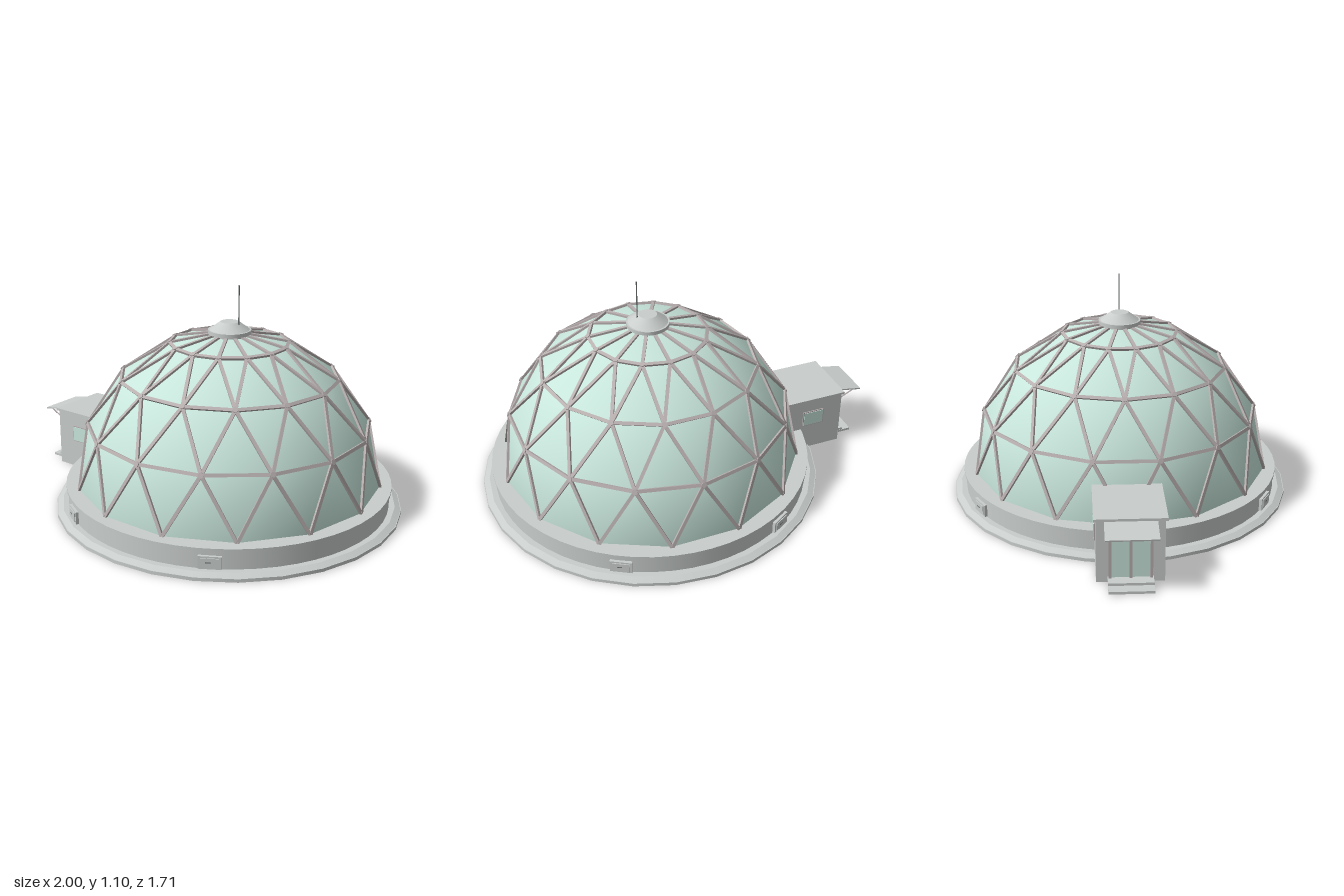
import * as THREE from 'three';

const CX = 0.147;      // dome axis
const BASE_Y = 0.13;   // dome springing line
const R = 0.742;       // frame radius
const N = 14;          // nodes per ring

const mat = (name, color) => {
  const m = new THREE.MeshStandardMaterial({ color });
  m.name = name;
  return m;
};

export function createModel() {
  const concrete = mat('concrete', 0xc9cecc);
  const metal = mat('frame metal', 0xb9b0b0);
  const glass = mat('pale green glass', 0xc9e7dd);
  const dark = mat('dark trim', 0x6c7071);

  const model = new THREE.Group();
  model.name = 'domeBuilding';

  const add = (name, geo, m, x = 0, y = 0, z = 0, parent = model) => {
    const mesh = new THREE.Mesh(geo, m);
    mesh.name = name;
    mesh.position.set(x, y, z);
    parent.add(mesh);
    return mesh;
  };
  // box given by its min and max corners
  const box = (name, m, x0, x1, y0, y1, z0, z1, parent = model) =>
    add(name, new THREE.BoxGeometry(x1 - x0, y1 - y0, z1 - z0), m,
      (x0 + x1) / 2, (y0 + y1) / 2, (z0 + z1) / 2, parent);

  const dome = new THREE.Group();
  dome.name = 'dome';
  dome.position.x = CX;
  model.add(dome);

  // Foundation slab with a bevelled top edge
  add('slab', new THREE.CylinderGeometry(0.853, 0.853, 0.016, 28), concrete, 0, 0.008, 0, dome);
  add('slabBevel', new THREE.CylinderGeometry(0.822, 0.85, 0.014, 28), concrete, 0, 0.023, 0, dome);
  // Ring wall and its coping
  add('ringWall', new THREE.CylinderGeometry(0.792, 0.792, 0.09, 56), concrete, 0, 0.073, 0, dome);
  add('wallCoping', new THREE.CylinderGeometry(0.801, 0.801, 0.014, 56), concrete, 0, 0.123, 0, dome);

  // Lattice nodes, staggered by half a step on every other ring
  const node = (ring, k) => {
    const lat = ring * Math.PI / 8;
    const a = (k + (ring % 2) / 2) * Math.PI * 2 / N;
    return new THREE.Vector3(
      R * Math.cos(lat) * Math.cos(a),
      BASE_Y + R * Math.sin(lat),
      R * Math.cos(lat) * Math.sin(a));
  };
  const centre = new THREE.Vector3(0, BASE_Y, 0);
  const apex = new THREE.Vector3(0, BASE_Y + R, 0);
  const up = new THREE.Vector3(0, 1, 0);

  // Straight struts lying on the shell
  const frame = new THREE.Group();
  frame.name = 'frame';
  dome.add(frame);
  const strut = (a, b) => {
    const along = b.clone().sub(a);
    const mid = a.clone().add(b).multiplyScalar(0.5);
    const y = along.clone().normalize();
    const z = mid.clone().sub(centre);
    z.addScaledVector(y, -z.dot(y)).normalize();
    const x = new THREE.Vector3().crossVectors(y, z);
    mid.addScaledVector(z, 0.003);
    const s = add('strut', new THREE.BoxGeometry(0.016, along.length(), 0.014), metal, mid.x, mid.y, mid.z, frame);
    s.quaternion.setFromRotationMatrix(new THREE.Matrix4().makeBasis(x, y, z));
  };

  // Triangular panes and the struts between them
  const panes = [];
  const hubGeo = new THREE.CylinderGeometry(0.013, 0.013, 0.024, 8);
  for (let ring = 0; ring < 4; ring++) {
    const off = ring % 2;
    for (let k = 0; k < N; k++) {
      const p = node(ring, k), pNext = node(ring, k + 1);
      if (ring > 0) {
        strut(p, pNext);
        const hub = add('frameNode', hubGeo, metal, p.x, p.y, p.z, frame);
        hub.quaternion.setFromUnitVectors(up, p.clone().sub(centre).normalize());
      }
      if (ring < 3) {
        const q = node(ring + 1, k + off), qNext = node(ring + 1, k + off + 1);
        panes.push(p, q, pNext, q, qNext, pNext);
        strut(p, q);
        strut(pNext, q);
      } else {
        panes.push(p, apex, pNext);
        strut(p, apex);
      }
    }
  }
  // Shell is shaded as a smooth sphere
  const shell = new THREE.BufferGeometry().setFromPoints(panes);
  const normals = panes.flatMap(p => p.clone().sub(centre).normalize().toArray());
  shell.setAttribute('normal', new THREE.Float32BufferAttribute(normals, 3));
  add('glassShell', shell, glass, 0, 0, 0, dome);

  // Crown vent and antenna
  add('crownNeck', new THREE.CylinderGeometry(0.09, 0.09, 0.03, 24), concrete, 0, 0.853, 0, dome);
  add('crownBrim', new THREE.CylinderGeometry(0.104, 0.104, 0.018, 24), concrete, 0, 0.872, 0, dome);
  add('crownCap', new THREE.CylinderGeometry(0.044, 0.096, 0.038, 24), concrete, 0, 0.9, 0, dome);
  add('antenna', new THREE.CylinderGeometry(0.003, 0.003, 0.215, 8), dark, 0.2 - CX, 0.9925, 0, dome);

  // Service boxes on the ring wall
  for (const deg of [30, 150, 210, 330]) {
    const unit = new THREE.Group();
    unit.name = 'serviceBox';
    unit.rotation.y = deg * Math.PI / 180;
    dome.add(unit);
    box('serviceBoxBody', concrete, -0.052, 0.052, 0.034, 0.094, 0.76, 0.804, unit);
    box('serviceBoxDoor', concrete, -0.04, 0.04, 0.042, 0.086, 0.804, 0.808, unit);
    box('serviceBoxHandle', dark, -0.018, 0.006, 0.065, 0.069, 0.808, 0.81, unit);
  }

  // Entrance block
  const entrance = new THREE.Group();
  entrance.name = 'entrance';
  model.add(entrance);
  box('entranceBody', concrete, -0.867, -0.52, 0.004, 0.3, -0.15, 0.15, entrance);
  box('entranceRoof', concrete, -0.878, -0.543, 0.3, 0.313, -0.16, 0.16, entrance);

  // Side windows with frames
  for (const s of [-1, 1]) {
    box('windowFrame', metal, -0.764, -0.646, 0.15, 0.235, s * 0.1525 - 0.0025, s * 0.1525 + 0.0025, entrance);
    box('windowPane', glass, -0.759, -0.651, 0.155, 0.23, s * 0.156 - 0.002, s * 0.156 + 0.002, entrance);
  }

  // Glazed double door
  box('doorGlass', glass, -0.874, -0.866, 0.03, 0.245, -0.09, 0.09, entrance);
  for (const z of [-0.09, 0, 0.09])
    box('doorPost', metal, -0.884, -0.866, 0.03, 0.245, z - 0.006, z + 0.006, entrance);
  box('doorHead', metal, -0.884, -0.866, 0.245, 0.257, -0.096, 0.096, entrance);

  // Sloping canopy and its braces
  const canopy = add('canopy', new THREE.BoxGeometry(0.125, 0.007, 0.23), concrete, -0.9375, 0.287, 0, entrance);
  canopy.rotation.z = 0.18;
  for (const s of [-1, 1]) {
    const brace = add('canopyBrace', new THREE.CylinderGeometry(0.0035, 0.0035, 0.125, 8), metal,
      -0.927, 0.248, s * 0.095, entrance);
    brace.rotation.z = Math.atan2(0.112, 0.055);
  }

  // Steps
  box('upperStep', concrete, -0.925, -0.866, 0.018, 0.03, -0.1, 0.1, entrance);
  box('lowerStep', concrete, -0.97, -0.9, 0.004, 0.016, -0.1, 0.1, entrance);

  return model;
}
